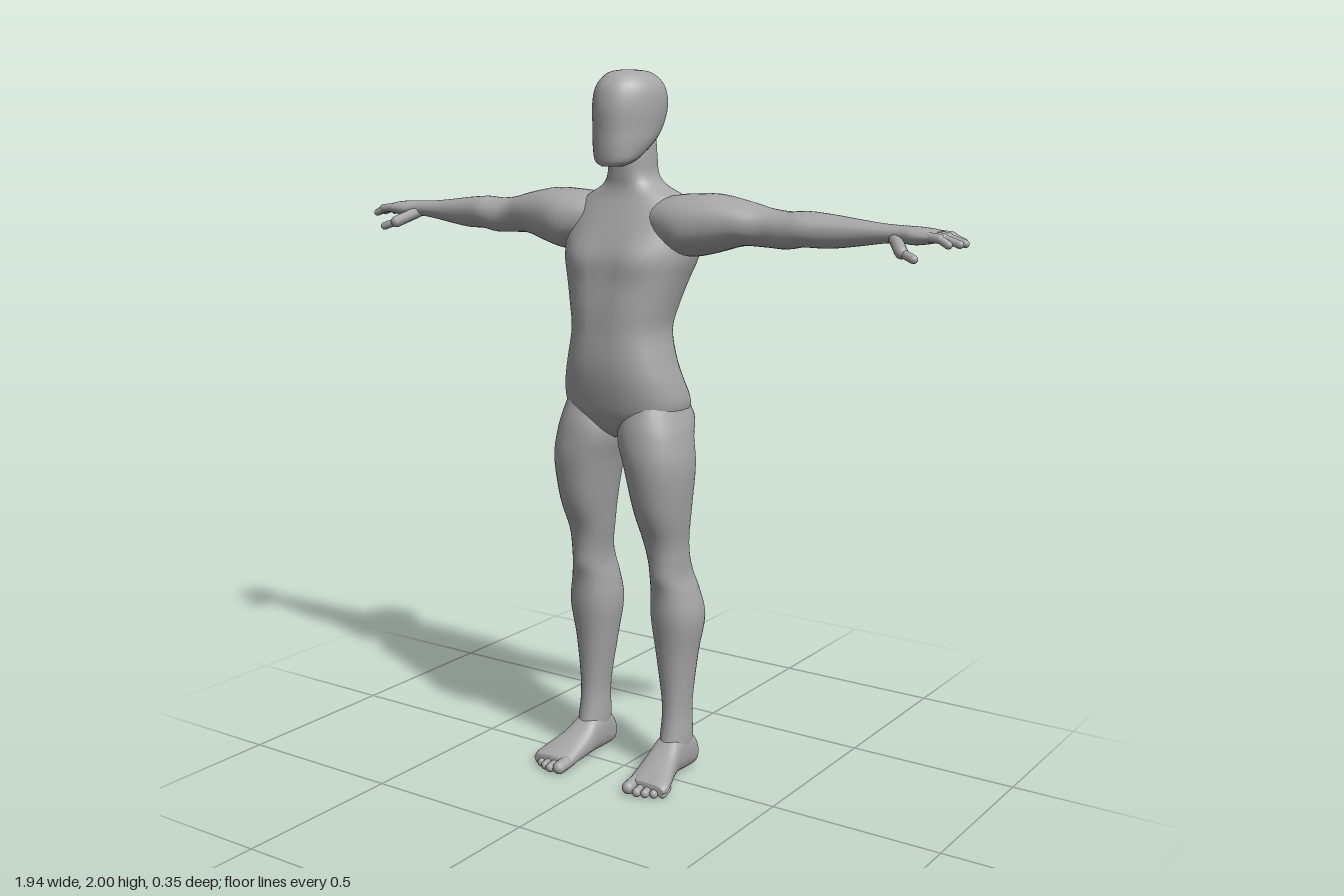
import * as THREE from 'three';

const skin = new THREE.MeshStandardMaterial({ color: 0xa6a6a6 });
skin.name = 'grey skin';

const SIDES = 32, STEPS = 4;
const bell = (v, w) => Math.exp(-((v / w) ** 2));
const spow = (v, e) => Math.sign(v) * Math.abs(v) ** e;

// Smoothly interpolate the cross-section table
function refine(rows) {
  const out = [];
  for (let i = 0; i < rows.length - 1; i++) {
    const a = rows[Math.max(i - 1, 0)], b = rows[i], c = rows[i + 1], d = rows[Math.min(i + 2, rows.length - 1)];
    for (let k = 0; k < STEPS; k++) {
      const t = k / STEPS;
      out.push(b.map((_, j) => 0.5 * (2 * b[j] + (c[j] - a[j]) * t
        + (2 * a[j] - 5 * b[j] + 4 * c[j] - d[j]) * t * t
        + (3 * b[j] - a[j] - 3 * c[j] + d[j]) * t * t * t)));
    }
  }
  out.push(rows[rows.length - 1]);
  return out;
}

// Loft rounded sections: each row is [station, aMin, aMax, bMin, bMax];
// place(station, a, b) turns them into [x, y, z]
function loft(rows, place, { power = 2.2, side = 1, shape = null } = {}) {
  const rings = refine(rows), pos = [], idx = [];
  const add = (t, a, b) => {
    const p = new THREE.Vector3(...place(t, a, b));
    if (shape) shape(p);
    pos.push(p.x * side, p.y, p.z);
  };
  for (const [t, a0, a1, b0, b1] of rings) {
    for (let i = 0; i < SIDES; i++) {
      const w = (i / SIDES) * Math.PI * 2;
      add(t, (a0 + a1) / 2 + ((a1 - a0) / 2) * spow(Math.cos(w), 2 / power),
        (b0 + b1) / 2 + ((b1 - b0) / 2) * spow(Math.sin(w), 2 / power));
    }
  }
  for (const [t, a0, a1, b0, b1] of [rings[0], rings[rings.length - 1]]) add(t, (a0 + a1) / 2, (b0 + b1) / 2);
  const n = rings.length, start = n * SIDES, end = start + 1;
  for (let i = 0; i < SIDES; i++) {
    const j = (i + 1) % SIDES;
    for (let r = 0; r < n - 1; r++) {
      const p = r * SIDES, q = p + SIDES;
      idx.push(p + i, q + i, p + j, p + j, q + i, q + j);
    }
    idx.push(start, i, j, end, (n - 1) * SIDES + j, (n - 1) * SIDES + i);
  }
  // Make the faces point outwards whichever axis or side is used
  const v = (k) => new THREE.Vector3().fromArray(pos, k * 3);
  let volume = 0;
  for (let k = 0; k < idx.length; k += 3) volume += v(idx[k]).dot(v(idx[k + 1]).cross(v(idx[k + 2])));
  if (volume < 0) idx.reverse();
  const geo = new THREE.BufferGeometry();
  geo.setAttribute('position', new THREE.Float32BufferAttribute(pos, 3));
  geo.setIndex(idx);
  geo.computeVertexNormals();
  return geo;
}

const upright = (t, a, b) => [a, t, b];
const sideways = (t, a, b) => [t, a, b];
const forward = (t, a, b) => [a, b, t];
const symmetric = (rows) => rows.map(([y, w, front, back]) => [y, -w, w, back, front]);

function part(parent, name, geometry) {
  const mesh = new THREE.Mesh(geometry, skin);
  mesh.name = name;
  parent.add(mesh);
  return mesh;
}

// Rounded finger or toe bone between two points
function bone(parent, name, from, to, radius, side) {
  const a = new THREE.Vector3(from[0] * side, from[1], from[2]);
  const b = new THREE.Vector3(to[0] * side, to[1], to[2]);
  const dir = b.clone().sub(a);
  const mesh = part(parent, name, new THREE.CapsuleGeometry(radius, dir.length(), 6, 12));
  mesh.position.copy(a).add(b).multiplyScalar(0.5);
  mesh.quaternion.setFromUnitVectors(new THREE.Vector3(0, 1, 0), dir.normalize());
}

// Half width, front z and back z by height
const TORSO = symmetric([
  [0.995, 0.03, 0.04, -0.06], [1.02, 0.09, 0.075, -0.11], [1.06, 0.165, 0.1, -0.145],
  [1.1, 0.182, 0.113, -0.152], [1.16, 0.172, 0.125, -0.126], [1.22, 0.156, 0.13, -0.11],
  [1.3, 0.142, 0.126, -0.105], [1.37, 0.155, 0.122, -0.125], [1.44, 0.175, 0.112, -0.15],
  [1.5, 0.194, 0.1, -0.172], [1.56, 0.198, 0.08, -0.176], [1.62, 0.185, 0.052, -0.168],
  [1.66, 0.145, 0.033, -0.15], [1.69, 0.09, 0.026, -0.128], [1.72, 0.066, 0.027, -0.116],
  [1.77, 0.062, 0.028, -0.11], [1.83, 0.058, 0.02, -0.105],
]);
const HEAD = symmetric([
  [1.745, 0.032, 0.086, 0.03], [1.76, 0.062, 0.093, 0], [1.8, 0.08, 0.096, -0.065],
  [1.84, 0.088, 0.096, -0.115], [1.9, 0.094, 0.097, -0.143], [1.95, 0.088, 0.086, -0.137],
  [1.98, 0.068, 0.062, -0.115], [1.995, 0.045, 0.035, -0.085], [2.0, 0.015, 0, -0.045],
]);
const LEG = [
  [1.15, 0.04, 0.15, -0.09, 0.07], [1.06, 0.008, 0.188, -0.14, 0.1], [1, 0.004, 0.203, -0.118, 0.11],
  [0.92, 0.028, 0.212, -0.11, 0.11], [0.8, 0.052, 0.2, -0.1, 0.088], [0.71, 0.068, 0.187, -0.096, 0.052],
  [0.65, 0.08, 0.184, -0.102, 0.04], [0.6, 0.083, 0.186, -0.12, 0.036], [0.55, 0.075, 0.2, -0.135, 0.024],
  [0.47, 0.069, 0.214, -0.15, 0.018], [0.36, 0.084, 0.197, -0.132, 0.002], [0.21, 0.106, 0.182, -0.115, -0.008],
  [0.12, 0.105, 0.185, -0.116, 0.002], [0.06, 0.108, 0.184, -0.122, 0.02],
];
const FOOT = [
  [-0.136, 0.13, 0.162, 0.018, 0.045], [-0.122, 0.112, 0.18, 0.006, 0.09], [-0.08, 0.106, 0.185, 0.004, 0.125],
  [-0.02, 0.101, 0.188, 0.008, 0.122], [0.03, 0.098, 0.2, 0.008, 0.09], [0.08, 0.1, 0.218, 0.005, 0.066],
  [0.12, 0.102, 0.23, 0.003, 0.048], [0.14, 0.108, 0.225, 0.006, 0.038],
];
const ARM = [
  [0.08, 1.54, 1.655, -0.15, 0.03], [0.14, 1.52, 1.668, -0.165, 0.055], [0.2, 1.505, 1.674, -0.163, 0.066],
  [0.27, 1.518, 1.675, -0.155, 0.052], [0.35, 1.54, 1.66, -0.14, 0.028], [0.42, 1.54, 1.643, -0.13, 0.005],
  [0.48, 1.538, 1.637, -0.128, 0.006], [0.53, 1.546, 1.64, -0.126, 0.004], [0.6, 1.546, 1.634, -0.124, -0.012],
  [0.68, 1.556, 1.624, -0.117, -0.026], [0.75, 1.567, 1.617, -0.109, -0.031], [0.8, 1.57, 1.615, -0.108, -0.03],
  [0.84, 1.568, 1.614, -0.118, -0.018], [0.88, 1.573, 1.61, -0.124, -0.018], [0.9, 1.58, 1.605, -0.118, -0.024],
];

// Chest muscles, shoulder blades, spine groove and seat cleft
function muscles(p) {
  const x = Math.abs(p.x);
  if (p.z > 0) {
    p.z += 0.014 * bell(x - 0.085, 0.06) * bell(p.y - 1.5, 0.05);
    p.z -= 0.006 * bell(x, 0.015) * bell(p.y - 1.4, 0.15);
  } else if (p.z < -0.03) {
    p.z += 0.02 * bell(x, 0.03) * bell(p.y - 1.42, 0.2);
    p.z += 0.04 * bell(x, 0.022) * bell(p.y - 1.05, 0.06);
    p.z -= 0.012 * bell(x - 0.1, 0.05) * bell(p.y - 1.52, 0.07);
  }
}

export function createModel() {
  const model = new THREE.Group();
  model.name = 'human figure';

  part(model, 'torsoAndNeck', loft(TORSO, upright, { power: 2.4, shape: muscles }));
  // Face narrows towards the front
  part(model, 'head', loft(HEAD, upright, { shape: (p) => { p.x *= 1 - 1.6 * Math.max(0, p.z); } }));

  for (const side of [1, -1]) {
    const label = side > 0 ? 'left' : 'right';
    const arm = new THREE.Group(), leg = new THREE.Group();
    arm.name = label + 'ArmGroup';
    leg.name = label + 'LegGroup';
    model.add(arm, leg);

    part(arm, label + 'ArmAndPalm', loft(ARM, sideways, { side }));
    // Fingers: z at the root, z at the tip, reach
    [[-0.108, -0.113, 0.946], [-0.083, -0.086, 0.96], [-0.058, -0.057, 0.958], [-0.033, -0.029, 0.94]]
      .forEach(([z0, z1, reach]) => {
        const knuckle = [0.915, 1.59, (z0 + z1) / 2];
        bone(arm, label + 'FingerBase', [0.87, 1.594, z0], knuckle, 0.0125, side);
        bone(arm, label + 'FingerTip', knuckle, [reach, 1.576, z1], 0.0105, side);
      });
    bone(arm, label + 'ThumbBase', [0.79, 1.583, -0.045], [0.832, 1.555, 0.006], 0.017, side);
    bone(arm, label + 'ThumbTip', [0.832, 1.555, 0.006], [0.87, 1.541, 0.017], 0.0115, side);

    part(leg, label + 'Leg', loft(LEG, upright, { side }));
    part(leg, label + 'Foot', loft(FOOT, forward, { power: 2.5, side }));
    // Toes: x, tip z, radius
    [[0.122, 0.176, 0.019], [0.152, 0.174, 0.0135], [0.175, 0.166, 0.013], [0.197, 0.154, 0.0125], [0.217, 0.139, 0.012]]
      .forEach(([x, tip, r]) => bone(leg, label + 'Toe', [x - 0.002, r + 0.008, 0.1], [x, r, tip - r], r, side));
  }
  return model;
}
